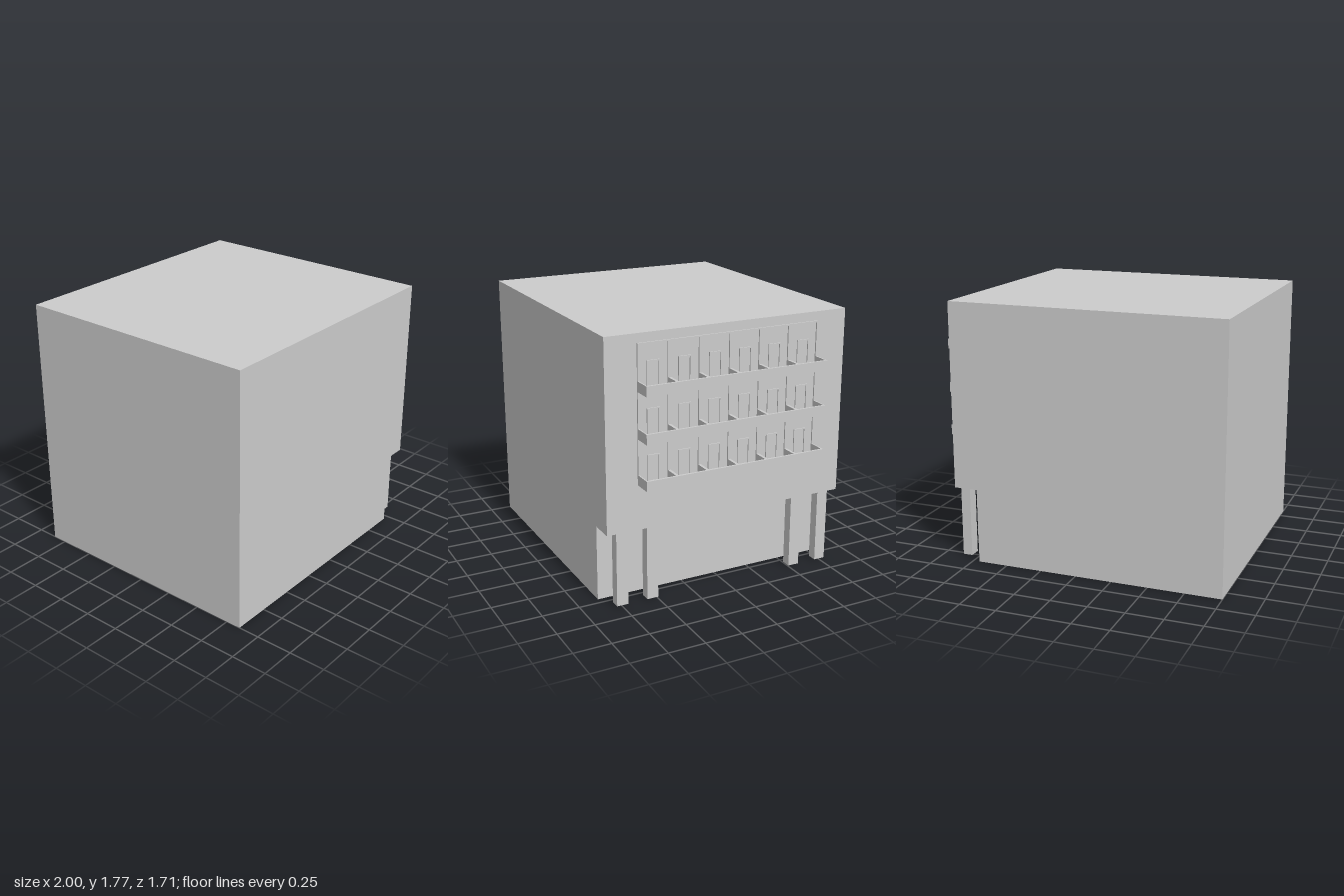
import * as THREE from 'three';

const material = new THREE.MeshStandardMaterial({ color: 0xcccccc, flatShading: true });
const openMaterial = new THREE.MeshStandardMaterial({ color: 0xcccccc, flatShading: true, side: THREE.DoubleSide });

const WALL = 0.87, FACE = 0.88, EDGE = 1.0;     // x of wall, facade frame, balcony front
const HALF = 0.64, BAYS = 6, PITCH = (2 * HALF) / BAYS;
const BAY_W = 0.195, FLOOR_H = 0.3, PARAPET_H = 0.067, SLAB_T = 0.015;

function add(parent, name, geometry, mat = material) {
  const mesh = new THREE.Mesh(geometry, mat);
  mesh.name = name;
  parent.add(mesh);
  return mesh;
}

// Box given by its limits on each axis
function box(parent, name, x0, x1, y0, y1, z0, z1) {
  const mesh = add(parent, name, new THREE.BoxGeometry(x1 - x0, y1 - y0, z1 - z0));
  mesh.position.set((x0 + x1) / 2, (y0 + y1) / 2, (z0 + z1) / 2);
  return mesh;
}

const rect = (Type, a0, a1, b0, b1) => new Type([
  new THREE.Vector2(a0, b0), new THREE.Vector2(a1, b0),
  new THREE.Vector2(a1, b1), new THREE.Vector2(a0, b1),
]);

// Extruded outline turned to face +x
function facing(shape, depth) {
  return new THREE.ExtrudeGeometry(shape, { depth, bevelEnabled: false }).rotateY(Math.PI / 2);
}

const bayCentre = (i) => -HALF + (i + 0.5) * PITCH;

// One storey: framed bays, doors and a divided balcony
function createStorey() {
  const storey = new THREE.Group();
  storey.name = 'storey';

  const panel = rect(THREE.Shape, -HALF, HALF, 0, FLOOR_H);
  for (let i = 0; i < BAYS; i++) {
    const c = bayCentre(i);
    panel.holes.push(rect(THREE.Path, c - BAY_W / 2, c + BAY_W / 2, SLAB_T, 0.29));
  }
  add(storey, 'bayFrame', facing(panel, FACE - WALL)).position.x = WALL;

  // Door surrounds
  for (let i = 0; i < BAYS; i++) {
    const surround = rect(THREE.Shape, -0.043, 0.043, SLAB_T, 0.187);
    surround.holes.push(rect(THREE.Path, -0.036, 0.036, SLAB_T + 0.002, 0.179));
    add(storey, 'doorFrame', facing(surround, 0.008)).position.set(WALL, 0, bayCentre(i));
  }

  // Balcony floor, parapet and dividers
  box(storey, 'balconyFloor', WALL, EDGE, 0, SLAB_T, -HALF, HALF);
  box(storey, 'parapet', EDGE - 0.014, EDGE, 0, PARAPET_H, -HALF, HALF);
  const t = (PITCH - BAY_W) / 2;
  for (let i = 0; i <= BAYS; i++) {
    const z = -HALF + i * PITCH;
    box(storey, 'balconyDivider', FACE, EDGE - 0.014, SLAB_T, PARAPET_H,
      Math.max(z - t, -HALF), Math.min(z + t, HALF));
  }
  return storey;
}

export function createModel() {
  const model = new THREE.Group();
  model.name = 'building';

  // Main block with the undercut along its right-hand side
  const profile = new THREE.Shape([
    [-1, 0], [0.705, 0], [0.705, 0.51], [WALL, 0.51], [WALL, 1.77], [-1, 1.77],
  ].map(([x, y]) => new THREE.Vector2(x, y)));
  const block = add(model, 'mainBlock',
    new THREE.ExtrudeGeometry(profile, { depth: 1.706, bevelEnabled: false }));
  block.position.z = -0.853;

  // Three storeys of balconies
  for (let i = 0; i < 3; i++) {
    const storey = createStorey();
    storey.position.y = 0.81 + i * FLOOR_H;
    model.add(storey);
  }

  // Square hollow columns, in pairs at both ends
  for (const z of [0.748, 0.536, -0.536, -0.748]) {
    const geometry = new THREE.CylinderGeometry(Math.SQRT1_2, Math.SQRT1_2, 1, 4, 1, true)
      .rotateY(Math.PI / 4).scale(0.066, 0.502, 0.078);
    add(model, 'column', geometry, openMaterial).position.set(0.828, 0.259, z);
  }
  return model;
}
